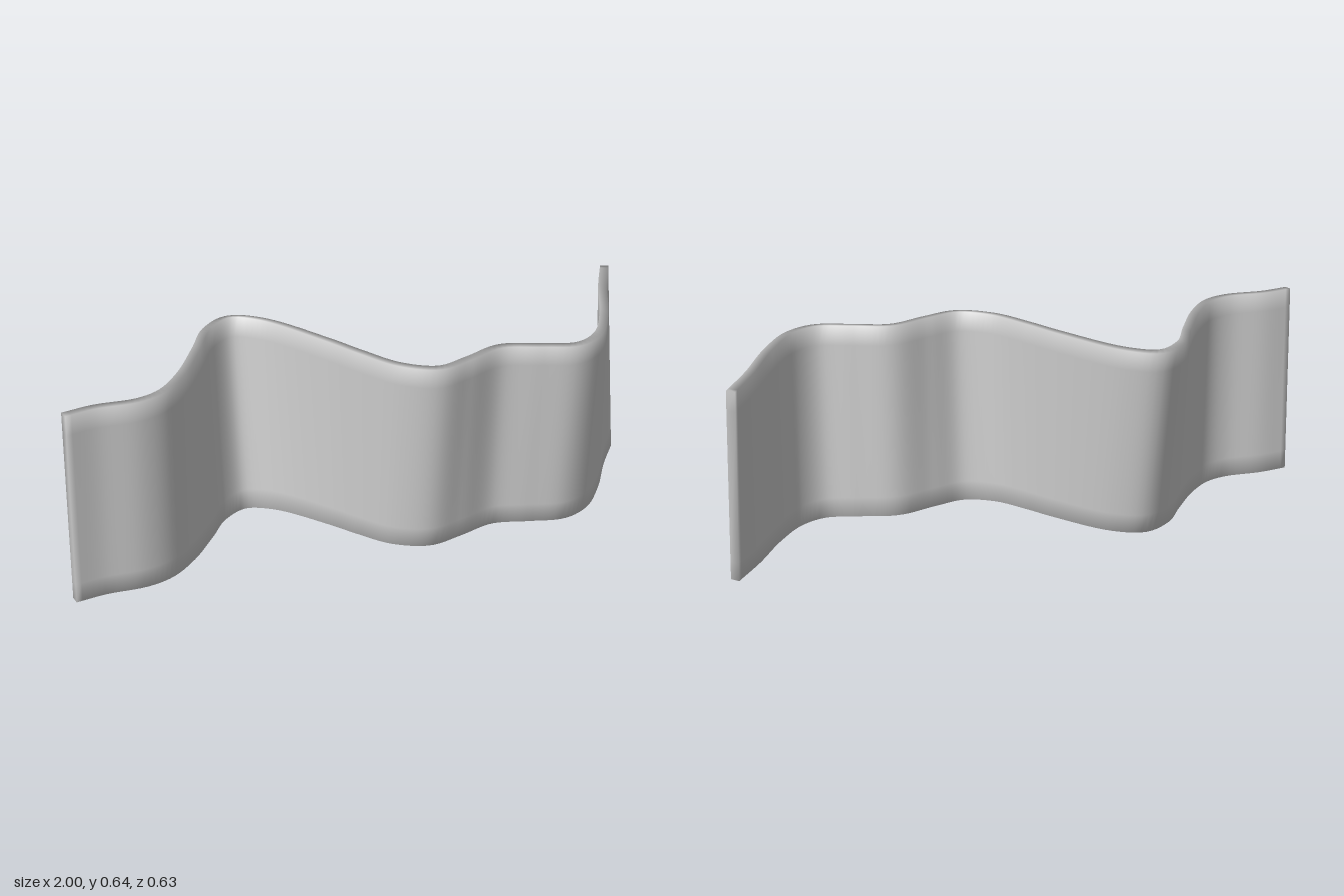
import * as THREE from 'three';

const BOTTOM = 0.006, TOP = 0.644, HALF = 0.014, STEPS = 150;
const ROWS = [0, 0.1, 0.9, 1]; // inset rows keep the rounded shading near the rims

// Top rim centreline as (x, z)
const rim = new THREE.CatmullRomCurve3([
  [-0.997, 0.19], [-0.9, 0.173], [-0.77, 0.178], [-0.69, 0.147], [-0.6, 0.05],
  [-0.5, -0.11], [-0.42, -0.245], [-0.33, -0.306], [-0.24, -0.25], [-0.1, -0.02],
  [-0.04, 0.1], [0.04, 0.235], [0.14, 0.3], [0.25, 0.27], [0.38, 0.224],
  [0.5, 0.265], [0.61, 0.3], [0.7, 0.255], [0.8, 0.11], [0.9, -0.09], [0.988, -0.243],
].map(([x, z]) => new THREE.Vector3(x, 0, z)));

// The wave flattens towards the bottom
const depthAt = (z, v) => THREE.MathUtils.lerp(0.729 * z + 0.028, z, v);

// Point on the front (side = 1) or back (side = -1) face at height v
function skinPoint(p, t, v, side) {
  const along = new THREE.Vector3(t.x, 0, t.z * THREE.MathUtils.lerp(0.729, 1, v));
  const up = new THREE.Vector3(0, TOP - BOTTOM, p.z - depthAt(p.z, 0));
  const normal = along.cross(up).normalize();
  return new THREE.Vector3(p.x, THREE.MathUtils.lerp(BOTTOM, TOP, v), depthAt(p.z, v))
    .addScaledVector(normal, HALF * side);
}

function wavySheet() {
  const positions = [], index = [];
  const n = ROWS.length, ring = 2 * n;
  const quad = (a, b, c, d) => index.push(a, b, c, a, c, d);

  // Closed cross-sections: up the front, down the back
  for (let i = 0; i <= STEPS; i++) {
    const p = rim.getPointAt(i / STEPS), t = rim.getTangentAt(i / STEPS);
    for (const v of ROWS) positions.push(...skinPoint(p, t, v, 1).toArray());
    for (const v of [...ROWS].reverse()) positions.push(...skinPoint(p, t, v, -1).toArray());
  }
  for (let i = 0; i < STEPS; i++) {
    for (let k = 0; k < ring; k++) {
      const a = i * ring, b = a + ring, next = (k + 1) % ring;
      quad(a + k, b + k, b + next, a + next);
    }
  }
  // End caps
  const last = STEPS * ring;
  for (let j = 0; j < n - 1; j++) {
    quad(ring - 1 - j, j, j + 1, ring - 2 - j);
    quad(last + j, last + ring - 1 - j, last + ring - 2 - j, last + j + 1);
  }

  const geometry = new THREE.BufferGeometry();
  geometry.setAttribute('position', new THREE.Float32BufferAttribute(positions, 3));
  geometry.setIndex(index);
  geometry.computeVertexNormals();
  return geometry;
}

export function createModel() {
  const group = new THREE.Group();
  group.name = 'wavyPanel';
  const sheet = new THREE.Mesh(wavySheet(), new THREE.MeshStandardMaterial({ color: 0xcccccc }));
  sheet.name = 'curvedSheet';
  group.add(sheet);
  return group;
}
